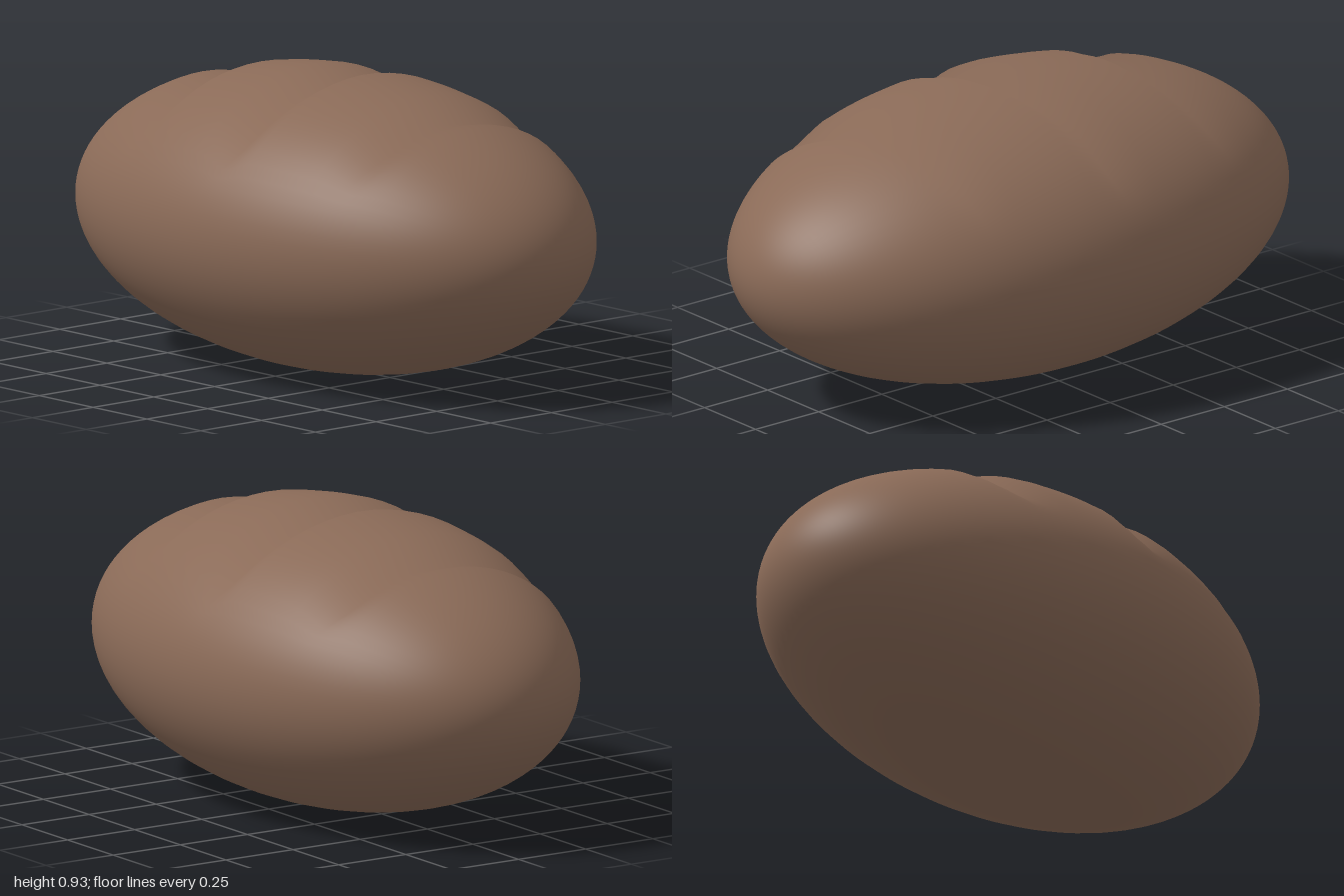
import * as THREE from 'three';

export function createModel() {
  const group = new THREE.Group();
  group.name = 'breadLoaf';
  const crust = new THREE.MeshStandardMaterial({ color: 0x8a6a57 });
  crust.name = 'brownCrust';

  // Oval loaf, with rings running across its length
  const radius = new THREE.Vector3(1, 0.467, 0.605);
  const geometry = new THREE.SphereGeometry(1, 64, 80);
  geometry.rotateZ(Math.PI / 2);
  geometry.scale(radius.x, radius.y, radius.z);

  // Three shallow slashes over the top, fading out down the sides;
  // the rounded shading of the loaf is kept across them
  const slashes = [
    { x: -0.49, depth: 0.065 },
    { x: 0, depth: 0.075 },
    { x: 0.5, depth: 0.055 },
  ];
  const halfWidth = 0.12;
  const position = geometry.attributes.position;
  for (let i = 0; i < position.count; i++) {
    const x = position.getX(i);
    const y = position.getY(i);
    const z = position.getZ(i);
    const fade = THREE.MathUtils.smoothstep(y / radius.y, 0.3, 0.75);
    let cut = 0;
    for (const slash of slashes) {
      const distance = Math.abs(x - slash.x - 0.1 * z) / halfWidth;
      if (distance < 1) cut += slash.depth * Math.pow(1 - distance, 1.2);
    }
    position.setY(i, y - cut * fade);
  }

  const loaf = new THREE.Mesh(geometry, crust);
  loaf.name = 'loaf';
  loaf.position.y = radius.y;
  group.add(loaf);
  return group;
}
